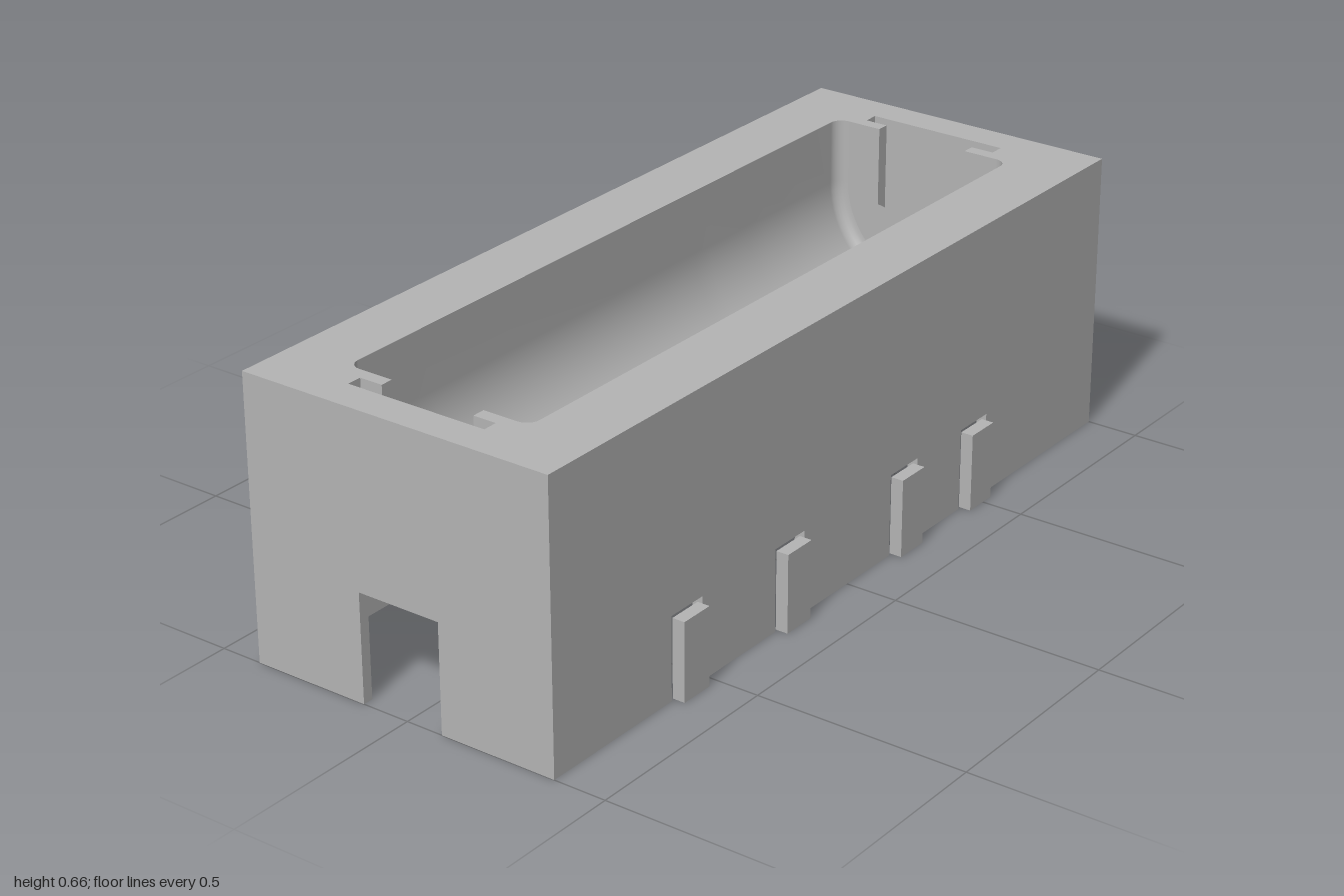
import * as THREE from 'three';

const TOP = 0.66, CEIL = 0.19, ROOF = 0.255;      // rim, underside, channel roof heights
const ZC = -0.018, R = 0.232, AXIS = 0.51;        // trough centre line
const XE = 0.855, FILLET = 0.03;                  // trough end and its fillet
const SLOT = { x1: 0.885, x2: 0.92, a: 0.117, b: 0.173, c: 0.048, y: 0.33 };
const CHANNEL = [-0.975, -0.54, -0.115, 0.09];
const MINUS = [-0.66, -0.6, -0.11, 0.08];
const MARKS = [                                    // x0, x1, z0, z1 of sunken marks
  MINUS,
  [-0.35, 0.3, -0.11, 0.08], [0.3, 0.355, -0.065, 0.03],
  [0.505, 0.7, -0.05, 0.02], [0.565, 0.635, -0.11, 0.08],
];

const grey = new THREE.MeshStandardMaterial({ color: 0xb4b4b4, side: THREE.DoubleSide });
grey.name = 'grey plastic';

export function createModel() {
  const model = new THREE.Group();
  model.name = 'batteryHolder';

  const add = (name, geometry) => {
    const mesh = new THREE.Mesh(geometry, grey);
    mesh.name = name;
    model.add(mesh);
  };
  const box = (name, x0, x1, y0, y1, z0, z1) => add(name,
    new THREE.BoxGeometry(x1 - x0, y1 - y0, z1 - z0)
      .translate((x0 + x1) / 2, (y0 + y1) / 2, (z0 + z1) / 2));
  const shapeOf = (pts) => new THREE.Shape(pts.map(([u, v]) => new THREE.Vector2(u, v)));
  const rect = ([x0, x1, z0, z1]) => [[x0, z0], [x1, z0], [x1, z1], [x0, z1]];
  const extrude = (shape, depth) =>
    new THREE.ExtrudeGeometry(shape, { depth, bevelEnabled: false });

  // Horizontal sheet or slab from [x, z] outlines
  const plan = (pts, holes = []) => {
    const flip = (p) => p.map(([x, z]) => [x, -z]);
    const shape = shapeOf(flip(pts));
    shape.holes = holes.map((h) => shapeOf(flip(h)));
    return shape;
  };
  const sheet = (name, y, pts, holes) =>
    add(name, new THREE.ShapeGeometry(plan(pts, holes)).rotateX(-Math.PI / 2).translate(0, y, 0));

  // Triangles from loose quads, flat shaded
  const quads = (name, list) => {
    const pos = list.flatMap(([a, b, c, d]) => [a, b, c, a, c, d]).flat();
    const g = new THREE.BufferGeometry();
    g.setAttribute('position', new THREE.Float32BufferAttribute(pos, 3));
    g.computeVertexNormals();
    add(name, g);
  };
  const walls = (name, pts, y0, y1) => quads(name, pts.slice(1).map(([x, z], i) => {
    const [px, pz] = pts[i];
    return [[px, y0, pz], [x, y0, z], [x, y1, z], [px, y1, pz]];
  }));

  // Front wall with clip openings along its lower edge
  const clips = [-0.57, -0.213, 0.213, 0.49];
  const front = [[-1, TOP], [-1, 0]];
  for (const x of clips) {
    front.push([x - 0.052, 0], [x - 0.052, 0.195], [x + 0.052, 0.195], [x + 0.052, 0]);
    box('clip', x - 0.042, x + 0.042, 0, 0.185, 0.37, 0.4);
  }
  front.push([1, 0], [1, TOP]);
  add('frontWall', extrude(shapeOf(front), 0.025).translate(0, 0, 0.35));

  box('backWall', -1, 1, 0, TOP, -0.4, -0.375);
  box('leftEndWall', 0.975, 1, CEIL, TOP, -0.375, 0.35);

  // Right end wall with the cable notch
  const [cx0, cx1, cz0, cz1] = CHANNEL;
  add('rightEndWall', extrude(shapeOf([
    [-0.35, 0], [-cz1, 0], [-cz1, ROOF], [-cz0, ROOF], [-cz0, 0],
    [0.375, 0], [0.375, TOP], [-0.35, TOP],
  ]), 0.025).rotateY(Math.PI / 2).translate(-1, 0, 0));

  // Underside slab with the cable channel, and the channel roof
  add('underside', extrude(plan([
    [0.975, 0.35], [0.975, -0.375], [cx0, -0.375], [cx0, cz0],
    [cx1, cz0], [cx1, cz1], [cx0, cz1], [cx0, 0.35],
  ]), ROOF - CEIL).rotateX(-Math.PI / 2).translate(0, CEIL, 0));
  const { x1, x2, a, b, c } = SLOT;
  sheet('channelRoof', ROOF, rect(CHANNEL),
    [rect(MINUS), rect([-x2, -x1, ZC - c, ZC + c])]);

  // Trough stations: position along x and inset at the filleted ends
  const fillet = [];
  for (let i = 0; i <= 6; i++) {
    const t = (i / 6) * Math.PI / 2;
    fillet.push([XE - FILLET + FILLET * Math.sin(t), FILLET * (1 - Math.cos(t))]);
  }
  const unique = (v) => [...new Set(v)].sort((p, q) => p - q);
  const markX = unique(MARKS.flatMap((m) => [m[0], m[1]]));
  const stations = [
    ...[...fillet].reverse().map(([x, d]) => [-x, d]),
    ...markX.map((x) => [x, 0]), ...fillet,
  ];

  // Cross-section: straight sides over a half circle
  const angles = Array.from({ length: 33 }, (_, i) => (i / 32 - 0.5) * Math.PI);
  const edgeAngles = MARKS.flatMap((m) => [m[2], m[3]]).map((z) => Math.asin((z - ZC) / R));
  const phis = unique([...angles, ...edgeAngles]);
  const section = (d) => {
    const r = R - d;
    return [[ZC - r, TOP],
      ...phis.map((p) => [ZC + r * Math.sin(p), AXIS - r * Math.cos(p)]), [ZC + r, TOP]];
  };
  const grid = stations.map(([x, d]) => section(d).map(([z, y]) => [x, y, z]));
  const cols = grid[0].length;
  const sunk = (i, j) => {
    const p = grid[i][j], q = grid[i + 1][j + 1];
    const x = (p[0] + q[0]) / 2, z = (p[2] + q[2]) / 2;
    return MARKS.some((m) => x > m[0] && x < m[1] && z > m[2] && z < m[3]);
  };

  const index = [], sides = [], floors = [];
  const MARK_Y = 0.265;
  for (let i = 0; i < grid.length - 1; i++) {
    for (let j = 0; j < cols - 1; j++) {
      const k = i * cols + j;
      if (!sunk(i, j)) {
        index.push(k, k + 1, k + cols + 1, k, k + cols + 1, k + cols);
        continue;
      }
      const p = [grid[i][j], grid[i][j + 1], grid[i + 1][j + 1], grid[i + 1][j]];
      const through = p[2][0] <= MINUS[1] + 1e-6;
      const base = through ? ROOF : MARK_Y;
      const low = p.map(([x, , z]) => [x, base, z]);
      if (!through) floors.push(low);
      [[i - 1, j], [i, j + 1], [i + 1, j], [i, j - 1]].forEach(([ni, nj], e) => {
        const f = (e + 1) % 4;
        if (!sunk(ni, nj)) sides.push([p[e], p[f], low[f], low[e]]);
      });
    }
  }
  const trough = new THREE.BufferGeometry();
  trough.setAttribute('position', new THREE.Float32BufferAttribute(grid.flat(2), 3));
  trough.setIndex(index);
  trough.computeVertexNormals();
  add('trough', trough);
  quads('markSides', sides);
  quads('markFloors', floors);

  // Contact pockets at both ends, and the trough end faces around them
  const pocket = (s) => [[XE, a], [x1, a], [x1, b], [x2, b], [x2, -b], [x1, -b], [x1, -a], [XE, -a]]
    .map(([x, z]) => [s * x, ZC + z]);
  for (const s of [1, -1]) {
    walls('contactPocketWalls', pocket(s), SLOT.y, TOP);
    const pts = pocket(s);
    pts.splice(4, 0, ...[[x2, c], [x1, c], [x1, -c], [x2, -c]].map(([x, z]) => [s * x, ZC + z]));
    sheet('contactPocketFloor', SLOT.y, pts);
    const well = rect([s * x1, s * x2, ZC - c, ZC + c]);
    walls('contactWell', [...well, well[0]], ROOF, SLOT.y);
    if (s > 0) sheet('contactWellFloor', ROOF + 0.005, well);

    const face = [...section(FILLET),
      [ZC + a, TOP], [ZC + a, SLOT.y], [ZC - a, SLOT.y], [ZC - a, TOP]];
    add('troughEnd', new THREE.ShapeGeometry(shapeOf(face.map(([z, y]) => [-z, y])))
      .rotateY(Math.PI / 2).translate(s * XE, 0, 0));
  }

  // Top rim around the trough and pockets
  const corner = (sx, sz) => fillet.map(([x, d]) => [sx * x, ZC + sz * (R - d)]);
  const opening = [
    ...corner(1, 1), ...pocket(1), ...corner(1, -1).reverse(),
    ...corner(-1, -1), ...pocket(-1).reverse(), ...corner(-1, 1).reverse(),
  ];
  sheet('topRim', TOP, rect([-0.975, 0.975, -0.375, 0.35]), [opening]);

  return model;
}
